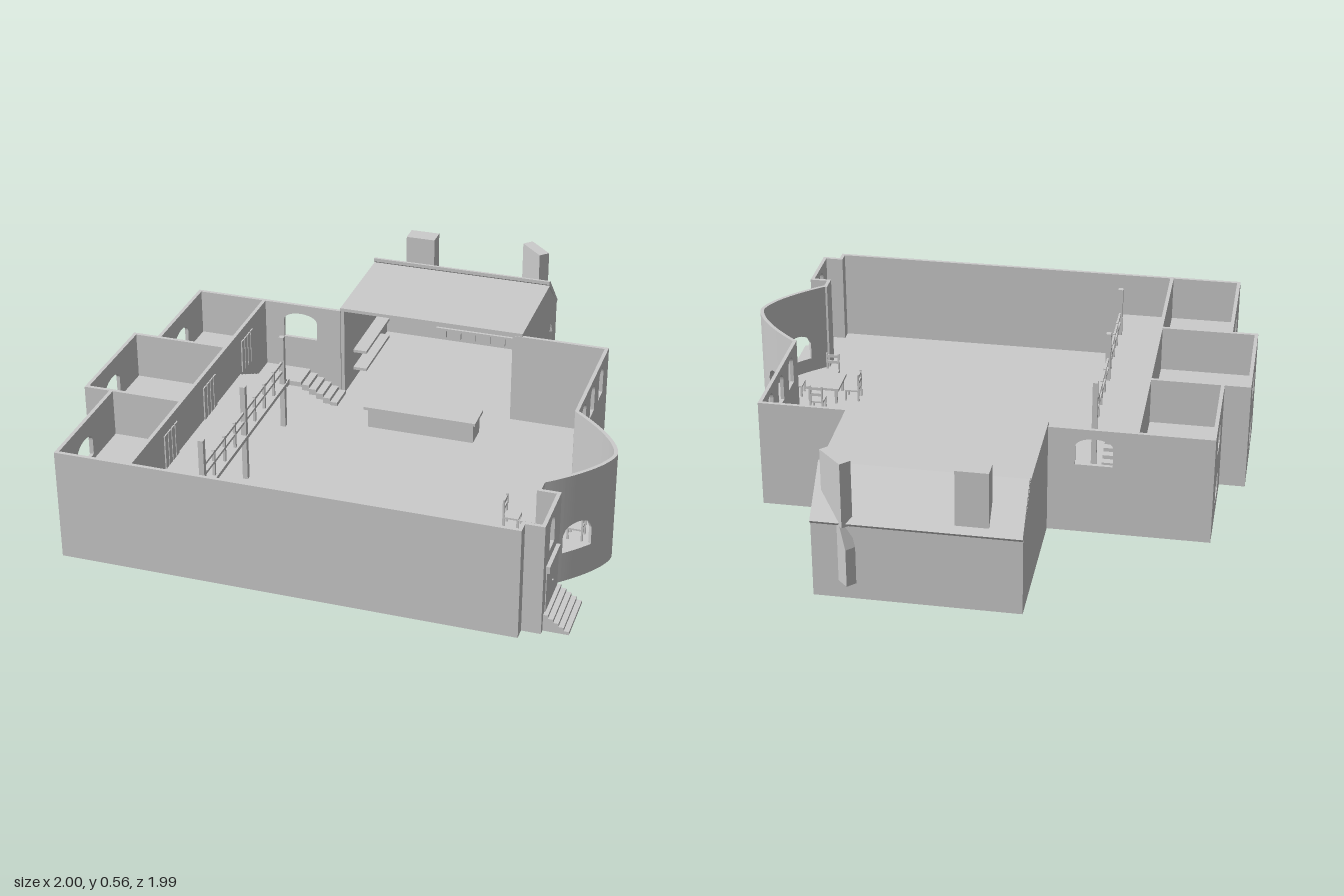
import * as THREE from 'three';
import { toCreasedNormals } from 'three/addons/utils/BufferGeometryUtils.js';

const H = 0.432, T = 0.014, FLOOR = 0.06, UPPER = 0.25;
const mat = new THREE.MeshStandardMaterial({ color: 0xcccccc, side: THREE.DoubleSide });

export function createModel() {
  const root = new THREE.Group();

  const add = (name, geo, parent = root) => {
    const m = new THREE.Mesh(geo, mat);
    m.name = name;
    parent.add(m);
    return m;
  };
  // Box given by its min and max on each axis
  const box = (name, x0, x1, y0, y1, z0, z1, parent) => {
    const g = new THREE.BoxGeometry(x1 - x0, y1 - y0, z1 - z0);
    g.translate((x0 + x1) / 2, (y0 + y1) / 2, (z0 + z1) / 2);
    return add(name, g, parent);
  };
  const poly = pts => new THREE.Shape(pts.map(p => new THREE.Vector2(...p)));
  // Arched opening: centre along the wall, width, bottom, top, rise of the arch
  const arch = (c, w, y0, y1, rise) => {
    const p = new THREE.Path();
    p.moveTo(c - w / 2, y0);
    p.lineTo(c + w / 2, y0);
    p.lineTo(c + w / 2, y1 - rise);
    p.absellipse(c, y1 - rise, w / 2, rise, 0, Math.PI, false);
    p.closePath();
    return p;
  };
  // Upright wall from (x0,z0) to (x1,z1), with openings or its own outline
  const wall = (name, x0, z0, x1, z1, holes = [], outline = null) => {
    const len = Math.hypot(x1 - x0, z1 - z0);
    const s = poly(outline || [[0, 0], [len, 0], [len, H], [0, H]]);
    s.holes.push(...holes);
    const g = new THREE.ExtrudeGeometry(s, { depth: T, bevelEnabled: false, curveSegments: 8 });
    g.translate(0, 0, -T / 2);
    const m = add(name, g);
    m.rotation.y = -Math.atan2(z1 - z0, x1 - x0);
    m.position.set(x0, 0, z0);
    return m;
  };

  // Outer walls
  const W = 0.793, L = -0.893, B = -0.367, F = 0.991;
  wall('frontWall', -0.9, F, 0.8, F);
  wall('backWallLeft', -0.9, B, -0.29, B, [arch(0.44, 0.14, 0.285, 0.395, 0.035)]);
  wall('backWallRight', 0.42, B, 0.8, B);
  wall('rightWall', W, B, W, 0.152,
    [-0.25, -0.1, 0.05].map(z => arch(z - B, 0.075, 0.285, 0.405, 0.037)));
  wall('rightWallPier', W, 0.66, W, 0.725);
  wall('rightWallCorner', W, 0.945, W, 0.998);

  // Left rooms: the middle one stands out further
  const leftWindows = c => [0.06, 0.265].map(y => arch(c, 0.13, y + 0.005, y + 0.1, 0.035));
  wall('leftWallBack', L, B, L, 0.065, leftWindows(0.225));
  wall('leftWallMiddle', -0.993, 0.06, -0.993, 0.517, leftWindows(0.25));
  wall('leftWallFront', L, 0.51, L, F, leftWindows(0.27));
  wall('roomPartition', -1, 0.065, -0.615, 0.065);
  wall('roomPartition', -1, 0.515, -0.615, 0.515);
  wall('roomInnerWall', -0.615, B, -0.615, F, [], [[0, 0.05], [1.358, 0.05], [1.358, H], [0, H]]);
  for (const z of [-0.2, 0.2, 0.58]) {
    for (let i = 0; i < 4; i++) {
      box('roomDoorSlat', -0.609, -0.603, UPPER, 0.385, z + i * 0.032, z + i * 0.032 + 0.026);
    }
  }

  // Curved bay: rings of four corners lofted along z
  const bayX = z => 0.793 + 0.2 * (1 - Math.pow(Math.min(1, Math.abs(z - 0.41) / 0.26), 1.6));
  const bayBand = (z0, z1, n, lo, hi) => {
    const pos = [], idx = [];
    for (let i = 0; i <= n; i++) {
      const z = z0 + (z1 - z0) * i / n, e = 0.004;
      const d = new THREE.Vector2(2 * e, bayX(z - e) - bayX(z + e)).normalize().multiplyScalar(T / 2);
      for (const [side, y] of [[1, lo(z)], [1, hi(z)], [-1, hi(z)], [-1, lo(z)]]) {
        pos.push(bayX(z) + side * d.x, y, z + side * d.y);
      }
      if (i < n) for (let k = 0; k < 4; k++) {
        const a = i * 4 + k, b = i * 4 + (k + 1) % 4;
        idx.push(a, b, a + 4, b, b + 4, a + 4);
      }
    }
    const last = n * 4;
    idx.push(0, 2, 1, 0, 3, 2, last, last + 1, last + 2, last, last + 2, last + 3);
    const g = new THREE.BufferGeometry();
    g.setAttribute('position', new THREE.Float32BufferAttribute(pos, 3));
    g.setIndex(idx);
    add('bayWall', toCreasedNormals(g, 0.6));
  };
  const bottom = () => 0, top = () => H, sill = () => 0.12;
  bayBand(0.15, 0.205, 4, bottom, top);
  bayBand(0.295, 0.525, 16, bottom, top);
  bayBand(0.615, 0.67, 4, bottom, top);
  for (const c of [0.25, 0.57]) {
    const head = z => 0.19 + 0.045 * Math.sqrt(Math.max(0, 1 - ((z - c) / 0.045) ** 2));
    bayBand(c - 0.045, c + 0.045, 12, bottom, sill);
    bayBand(c - 0.045, c + 0.045, 12, head, top);
  }

  // Entrance porch, door and steps
  wall('porchSide', 0.786, 0.725, 0.87, 0.725);
  wall('porchSide', 0.786, 0.945, 0.87, 0.945);
  wall('porchFront', 0.863, 0.72, 0.863, 0.95, [arch(0.12, 0.07, 0.29, 0.405, 0.035)]);
  box('frontDoor', 0.868, 0.873, 0.065, 0.225, 0.735, 0.91);
  box('doorCanopy', 0.868, 0.884, 0.225, 0.252, 0.762, 0.915);
  const knob = add('doorKnob', new THREE.SphereGeometry(0.004, 8, 6));
  knob.position.set(0.875, 0.14, 0.82);
  for (let i = 0; i < 5; i++) {
    box('entranceStep', 0.865, 0.963 - i * 0.019, i * 0.013, (i + 1) * 0.013, 0.73, 0.93);
  }

  // Ground floor, set above the foot of the walls
  const bay = [];
  for (let i = 0; i <= 20; i++) bay.push([bayX(0.15 + i * 0.026), -(0.15 + i * 0.026)]);
  const plan = poly([[L, -F], [L, -0.515], [-0.993, -0.515], [-0.993, -0.065], [L, -0.065], [L, -B],
    [-0.283, -B], [-0.283, 0.95], [0.453, 0.95], [0.453, -B], [W, -B], ...bay,
    [W, -0.725], [0.863, -0.725], [0.863, -0.945], [W, -0.945], [W, -F]]);
  const floor = new THREE.ExtrudeGeometry(plan, { depth: 0.008, bevelEnabled: false });
  floor.rotateX(-Math.PI / 2);
  floor.translate(0, FLOOR - 0.008, 0);
  add('groundFloor', floor);

  // Upper floor and gallery
  box('upperRoomFloor', L, -0.615, UPPER - 0.015, UPPER, B, F);
  box('upperRoomFloor', -0.993, L, UPPER - 0.015, UPPER, 0.065, 0.515);
  box('galleryFloor', -0.615, -0.408, UPPER - 0.015, UPPER, -0.06, F);

  // Gallery railing
  for (const z of [-0.04, 0.38, 0.795]) {
    box('galleryPost', -0.432, -0.412, FLOOR, 0.455, z - 0.01, z + 0.01);
  }
  for (const y of [0.3, 0.34]) box('galleryRail', -0.426, -0.418, y, y + 0.01, -0.04, 0.795);
  for (let i = 1; i < 8; i++) {
    if (i === 4) continue;
    const z = -0.04 + i * 0.104;
    box('railPost', -0.427, -0.417, UPPER, 0.355, z - 0.005, z + 0.005);
  }

  // Stairs turning at a landing
  for (let i = 0; i < 6; i++) {
    const y = UPPER - 0.015 * (i + 1), z = -0.06 - i * 0.03;
    box('upperStair', -0.608, -0.468, y - 0.025, y, z - 0.03, z);
  }
  box('stairLanding', -0.608, -0.42, 0.135, 0.15, -0.36, -0.24);
  for (let i = 0; i < 5; i++) {
    const y = 0.15 - 0.015 * (i + 1), x = -0.42 + i * 0.03;
    box('lowerStair', x, x + 0.03, Math.max(FLOOR, y - 0.025), y, -0.36, -0.25);
  }

  // Rear wing
  const gable = [[0, 0], [0.588, 0], [0.588, 0.31], [0.44, 0.435], [0, 0.435]];
  wall('wingSide', -0.283, B, -0.283, -0.955, [], gable);
  wall('wingSide', 0.453, B, 0.453, -0.955, [], gable);
  wall('wingBack', -0.29, -0.948, 0.46, -0.948, [], [[0, 0], [0.75, 0], [0.75, 0.31], [0, 0.31]]);
  box('wingFlatRoof', -0.29, 0.46, 0.433, 0.446, -0.815, -0.36);
  const slope = new THREE.ExtrudeGeometry(
    poly([[0.805, 0.452], [0.96, 0.3], [0.968, 0.312], [0.815, 0.466], [0.805, 0.466]]),
    { depth: 0.75, bevelEnabled: false });
  slope.rotateY(Math.PI / 2);
  slope.scale(1, 1, 1);
  slope.translate(-0.29, 0, 0);
  add('wingSlopedRoof', slope);
  for (const y of [0.11, 0.19]) box('wallShelf', -0.276, -0.22, y, y + 0.012, -0.8, -0.48);
  box('hangingRack', 0.1, 0.42, 0.395, 0.405, -0.4, -0.39);
  for (let i = 0; i < 5; i++) {
    box('rackHook', 0.13 + i * 0.06, 0.142 + i * 0.06, 0.365, 0.395, -0.4, -0.39);
  }

  // Chimneys: one straight, one set across the corner on a shouldered breast
  box('chimney', -0.17, -0.05, 0.3, 0.55, -0.947, -0.875);
  const corner = new THREE.Group();
  corner.name = 'cornerChimney';
  corner.position.set(0.385, 0, -0.908);
  corner.rotation.y = -Math.PI / 4;
  root.add(corner);
  const breast = new THREE.ExtrudeGeometry(
    poly([[-0.1, 0.07], [0.1, 0.07], [0.1, 0.22], [0.065, 0.3], [-0.065, 0.3], [-0.1, 0.22]]),
    { depth: 0.04, bevelEnabled: false });
  breast.translate(0, 0, -0.02);
  add('chimneyBreast', breast, corner);
  box('chimneyStack', -0.08, 0.05, 0.3, 0.555, -0.02, 0.025, corner);

  // Counter
  box('counterBody', -0.1, 0.33, FLOOR, 0.14, -0.225, -0.13);
  box('counterTop', -0.115, 0.34, 0.14, 0.152, -0.235, -0.12);

  // Dining table with four chairs facing it
  box('tableTop', 0.67, 0.81, 0.122, 0.132, 0.335, 0.475);
  for (const x of [0.68, 0.79]) for (const z of [0.345, 0.455]) {
    box('tableLeg', x, x + 0.01, FLOOR, 0.122, z, z + 0.01);
  }
  for (let i = 0; i < 4; i++) {
    const chair = new THREE.Group();
    chair.name = 'chair';
    chair.position.set(0.745, 0, 0.405);
    chair.rotation.y = i * Math.PI / 2;
    root.add(chair);
    box('chairSeat', -0.028, 0.028, 0.102, 0.109, 0.09, 0.146, chair);
    for (const x of [-0.028, 0.021]) {
      box('chairFrontLeg', x, x + 0.007, FLOOR, 0.102, 0.09, 0.097, chair);
      box('chairBackPost', x, x + 0.007, FLOOR, 0.18, 0.143, 0.15, chair);
    }
    for (const y of [0.135, 0.162]) box('chairBackRail', -0.028, 0.028, y, y + 0.012, 0.144, 0.149, chair);
  }
  return root;
}
